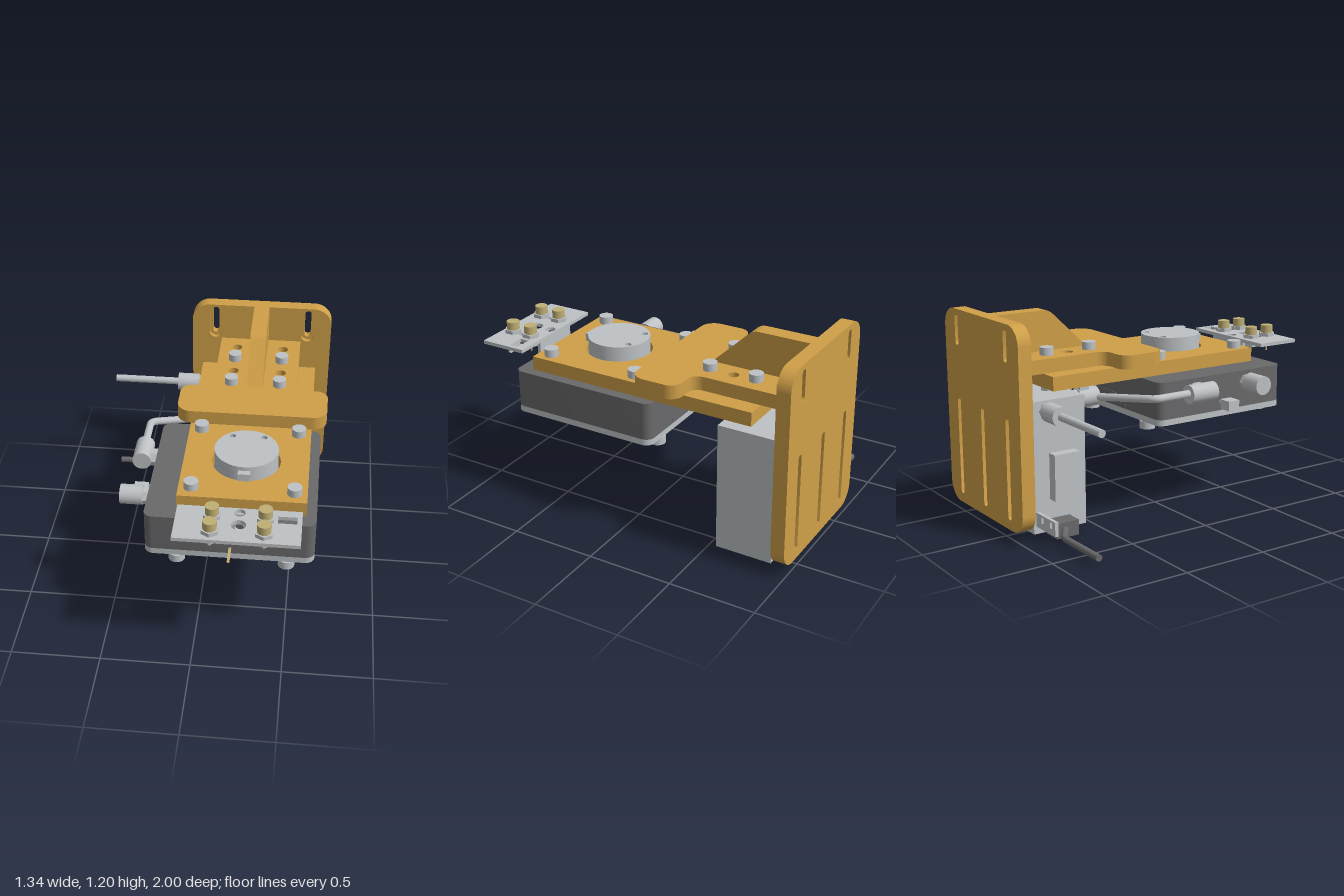
import * as THREE from 'three';
import { toCreasedNormals } from 'three/addons/utils/BufferGeometryUtils.js';

const mat = (name, color) => {
  const m = new THREE.MeshStandardMaterial({ color });
  m.name = name;
  return m;
};

export function createModel() {
  const model = new THREE.Group();
  const assembly = new THREE.Group();
  assembly.name = 'assembly';
  assembly.position.set(0.002, -0.005, 0);
  model.add(assembly);
  const orange = mat('orange anodised', 0xcf9f48);
  const grey = mat('light grey metal', 0xbec2c5);
  const dark = mat('dark grey housing', 0x69696b);
  const brass = mat('brass', 0xc0ae74);
  const green = mat('circuit green', 0x2f8555);
  const CX = 0.237; // mid-plane of the assembly

  // ---- helpers ----
  const add = (name, geo, m) => {
    const mesh = new THREE.Mesh(geo, m);
    mesh.name = name;
    assembly.add(mesh);
    return mesh;
  };
  // box from min/max extents
  const box = (name, m, x0, x1, y0, y1, z0, z1) =>
    add(name, new THREE.BoxGeometry(x1 - x0, y1 - y0, z1 - z0)
      .translate((x0 + x1) / 2, (y0 + y1) / 2, (z0 + z1) / 2), m);
  // cylinder centred at a point along an axis
  const cyl = (name, m, r, len, axis, x, y, z, sides = 28) => {
    let g = new THREE.CylinderGeometry(r, r, len, sides);
    if (sides < 10) g = toCreasedNormals(g, 0.5);
    if (axis === 'x') g.rotateZ(Math.PI / 2);
    if (axis === 'z') g.rotateX(Math.PI / 2);
    return add(name, g.translate(x, y, z), m);
  };
  const rounded = (x0, x1, y0, y1, r, T = THREE.Shape) => {
    const s = new T();
    s.moveTo(x0 + r, y0);
    s.lineTo(x1 - r, y0); s.absarc(x1 - r, y0 + r, r, -Math.PI / 2, 0);
    s.lineTo(x1, y1 - r); s.absarc(x1 - r, y1 - r, r, 0, Math.PI / 2);
    s.lineTo(x0 + r, y1); s.absarc(x0 + r, y1 - r, r, Math.PI / 2, Math.PI);
    s.lineTo(x0, y0 + r); s.absarc(x0 + r, y0 + r, r, Math.PI, Math.PI * 1.5);
    return s;
  };
  const rect = (x0, x1, y0, y1, T = THREE.Path) => new T([[x0, y0], [x1, y0], [x1, y1], [x0, y1]]
    .map(p => new THREE.Vector2(...p)));
  const circle = (x, y, r) => new THREE.Path().absarc(x, y, r, 0, Math.PI * 2);
  const extrude = (shape, depth) => toCreasedNormals(
    new THREE.ExtrudeGeometry(shape, { depth, bevelEnabled: false, curveSegments: 18 }), 0.6);
  // horizontal slab: shape drawn in (x, -z)
  const slab = (name, shape, y0, y1, m) =>
    add(name, extrude(shape, y1 - y0).rotateX(-Math.PI / 2).translate(0, y0, 0), m);
  const tube = (name, m, r, pts) => {
    const path = new THREE.CurvePath();
    const v = pts.map(p => new THREE.Vector3(...p));
    let from = v[0];
    for (let i = 1; i < v.length - 1; i++) { // soften each bend
      const a = v[i].clone().lerp(v[i - 1], 0.12), b = v[i].clone().lerp(v[i + 1], 0.12);
      path.add(new THREE.LineCurve3(from, a));
      path.add(new THREE.QuadraticBezierCurve3(a, v[i], b));
      from = b;
    }
    path.add(new THREE.LineCurve3(from, v[v.length - 1]));
    return add(name, new THREE.TubeGeometry(path, 60, r, 16), m);
  };

  // ---- back mounting plate: counterbored front layer and slotted rear layer ----
  const layers = [[-1, 0.05, 0.019, 0.992, 1.17], [-0.95, 0.03, 0.038, 0.973, 1.19]];
  for (const [z, d, w, y0, y1] of layers) {
    const s = rounded(-0.195, 0.67, 0.053, 1.2, 0.11);
    for (const x of [-0.05, 0.525]) s.holes.push(rounded(x - w, x + w, y0, y1, w, THREE.Path));
    for (const x of [-0.05, CX, 0.525])
      s.holes.push(rounded(x - 0.019, x + 0.019, 0.11, 0.685, 0.0189, THREE.Path));
    add('backPlate', extrude(s, d).translate(0, 0, z), orange);
  }

  // ---- T-shaped bracket arm with bolt holes ----
  const arm = new THREE.Shape();
  const W = 0.432, N = 0.247, r = 0.085;
  const R = CX + W, L = CX - W;
  arm.moveTo(L + r, 0.06);
  arm.lineTo(R - r, 0.06); arm.absarc(R - r, 0.06 + r, r, -Math.PI / 2, 0);
  arm.lineTo(R, 0.275); arm.absarc(R - 0.07, 0.275, 0.07, 0, Math.PI / 2);
  arm.lineTo(CX + N + 0.06, 0.345); arm.absarc(CX + N + 0.06, 0.405, 0.06, -Math.PI / 2, -Math.PI, true);
  arm.lineTo(CX + N, 0.92); arm.lineTo(CX - N, 0.92);
  arm.lineTo(CX - N, 0.405); arm.absarc(CX - N - 0.06, 0.405, 0.06, 0, -Math.PI / 2, true);
  arm.lineTo(L + 0.07, 0.345); arm.absarc(L + 0.07, 0.275, 0.07, Math.PI / 2, Math.PI);
  arm.lineTo(L, 0.06 + r); arm.absarc(L + r, 0.06 + r, r, Math.PI, Math.PI * 1.5);
  const boltX = [0.095, 0.38];
  for (const x of boltX) for (const z of [0.53, 0.81]) arm.holes.push(circle(x, z, 0.031));
  slab('bracketArm', arm, 0.89, 0.97, orange);

  // stiffening rib
  const rib = new THREE.Shape();
  rib.moveTo(0.92, 0.97); rib.lineTo(0.35, 0.97); rib.lineTo(0.565, 1.175);
  rib.quadraticCurveTo(0.59, 1.2, 0.625, 1.2); rib.lineTo(0.92, 1.2);
  add('rib', extrude(rib, 0.094).rotateY(Math.PI / 2).translate(0.19, 0, 0), orange);

  // ---- carrier plate with bore for the round lens cap ----
  const carrier = rect(-0.11, 0.585, -0.635, 0.745, THREE.Shape);
  carrier.holes.push(circle(CX, -0.28, 0.19));
  slab('carrierPlate', carrier, 0.81, 0.89, orange);

  const cap = new THREE.Shape().absarc(CX, -0.28, 0.177, 0, Math.PI * 2);
  for (const x of [0.15, 0.325]) cap.holes.push(circle(x, -0.165, 0.019));
  slab('roundCap', cap, 0.808, 0.97, grey);
  cyl('roundCapCore', grey, 0.16, 0.14, 'y', CX, 0.88, 0.28, 40);
  box('capTab', grey, 0.204, 0.27, 0.902, 0.946, 0.44, 0.49);

  // bolts through arm and carrier, with nuts below
  for (const x of boltX) for (const z of [-0.39, -0.665]) {
    cyl('armBolt', grey, 0.039, 0.045, 'y', x, 0.992, z);
    cyl('armNut', grey, 0.04, 0.04, 'y', x, 0.79, z, 6);
  }
  for (const x of [-0.04, 0.515]) for (const z of [0, 0.555])
    cyl('carrierBolt', grey, 0.04, 0.045, 'y', x, 0.912, z);

  // ---- dark housing with light lid and recessed underside ----
  slab('housing', rounded(-0.28, 0.64, -0.725, 0.165, 0.05), 0.592, 0.808, dark);
  const lid = rounded(-0.28, 0.64, -0.725, 0.165, 0.05);
  lid.holes.push(rect(CX - 0.28, CX + 0.24, -0.62, 0.06));
  slab('housingLid', lid, 0.557, 0.592, grey);
  const recess = new THREE.CylinderGeometry(Math.SQRT1_2 * 0.72, Math.SQRT1_2, 0.031, 4, 1, true)
    .toNonIndexed().rotateY(Math.PI / 4).scale(-0.52, 1, 0.68); // mirrored so it faces inward
  recess.computeVertexNormals();
  add('lidRecess', recess.translate(CX - 0.02, 0.5725, 0.28), grey);
  box('lidRecessFloor', grey, CX - 0.28, CX + 0.24, 0.588, 0.593, -0.06, 0.62);
  for (const x of [-0.105, 0.49]) for (const z of [-0.125, 0.69])
    cyl('lidBolt', grey, 0.045, 0.045, 'y', x, 0.533, z);
  for (const [z, s] of [[0.725, 1], [-0.165, -1]]) { // slot and contact strip at each end
    box('endSlot', dark, 0.055, 0.4, 0.609, 0.671, z - 0.003, z + 0.003);
    box('contactStrip', brass, 0.18, 0.195, 0.63, 0.634, Math.min(z, z + s * 0.125), Math.max(z, z + s * 0.125));
  }

  // ---- fittings on the housing side ----
  cyl('frontFitting', grey, 0.055, 0.125, 'x', -0.38, 0.743, 0.457);
  cyl('frontFittingHex', grey, 0.048, 0.04, 'x', -0.298, 0.738, 0.457, 6);
  cyl('elbowFitting', grey, 0.054, 0.175, 'z', -0.372, 0.745, 0.058);
  cyl('elbowHex', grey, 0.05, 0.06, 'x', -0.3, 0.738, 0.09, 6);
  box('sidePlug', grey, -0.397, -0.317, 0.613, 0.67, 0.24, 0.315);
  cyl('sidePlugPin', grey, 0.017, 0.05, 'x', -0.298, 0.641, 0.277);
  tube('coolantPipe', grey, 0.022,
    [[-0.374, 0.75, 0], [-0.374, 0.75, -0.255], [-0.02, 0.713, -0.395], [0.03, 0.713, -0.42]]);
  cyl('boxFitting', grey, 0.056, 0.125, 'z', 0.03, 0.713, -0.453);
  cyl('boxFittingHex', grey, 0.05, 0.04, 'z', 0.03, 0.713, -0.533, 6);
  box('boxFittingClip', grey, 0.0, 0.06, 0.75, 0.788, -0.51, -0.45);

  // ---- electronics box, open underneath over a recessed circuit board ----
  box('electronicsBox', grey, -0.11, 0.585, 0.07, 0.768, -0.885, -0.55);
  const rim = rect(-0.11, 0.585, 0.55, 0.885, THREE.Shape);
  rim.holes.push(rect(-0.09, 0.565, 0.57, 0.865));
  slab('boxRim', rim, 0.02, 0.07, grey);
  box('circuitBoard', green, -0.085, 0.56, 0.062, 0.071, -0.86, -0.575);
  box('boardChip', grey, 0.2, 0.28, 0.056, 0.064, -0.77, -0.69);
  for (const x of [-0.05, 0.53]) for (const z of [-0.835, -0.605])
    cyl('boardScrew', grey, 0.02, 0.01, 'y', x, 0.06, z, 16);
  box('boardSocket', grey, -0.085, -0.02, 0.025, 0.064, -0.79, -0.68);
  box('sidePanel', grey, -0.17, -0.1, 0.205, 0.47, -0.78, -0.62);
  box('boxRearTab', grey, -0.1, -0.04, 0.09, 0.16, -0.905, -0.88);

  // ---- cable, pipe and their connectors beside the box ----
  box('cableConnector', dark, -0.212, -0.087, 0.005, 0.093, -0.8, -0.66);
  tube('lowerCable', dark, 0.019,
    [[-0.672, 0.05, -0.82], [-0.32, 0.05, -0.82], [-0.2, 0.05, -0.74]]);
  cyl('lowerCableEnd', dark, 0.019, 0.004, 'x', -0.671, 0.05, -0.82);
  cyl('upperPipe', grey, 0.022, 0.42, 'x', -0.462, 0.71, -0.793);
  cyl('upperFitting', grey, 0.054, 0.13, 'x', -0.207, 0.71, -0.793);
  cyl('upperFittingHex', grey, 0.045, 0.04, 'x', -0.125, 0.71, -0.793, 6);

  // perforated bracket beside the lower connector
  const perf = rect(-0.314, -0.09, 0.064, 0.146, THREE.Shape);
  for (const x of [-0.27, -0.178]) perf.holes.push(rect(x - 0.011, x + 0.011, 0.1, 0.134));
  add('perforatedBracket', extrude(perf, 0.02).translate(0, 0, -0.87), grey);

  // ---- front sensor bracket ----
  const shelf = rect(-0.092, 0.565, -1, -0.725, THREE.Shape);
  shelf.holes.push(circle(0.24, -0.865, 0.04), circle(0.24, -0.765, 0.03), rect(0.44, 0.54, -0.83, -0.775));
  for (const x of [0.1, 0.38]) shelf.holes.push(circle(x, -0.868, 0.02));
  slab('sensorShelf', shelf, 0.88, 0.901, grey);
  box('shelfConnector', grey, 0.43, 0.555, 0.859, 0.867, 0.813, 0.833);
  box('shelfConnectorPost', grey, 0.45, 0.53, 0.865, 0.882, 0.827, 0.835);
  const face = rect(0.09, 0.388, 0.698, 0.88, THREE.Shape);
  face.holes.push(circle(0.238, 0.79, 0.024));
  add('sensorBracketFace', extrude(face, 0.02).translate(0, 0, 0.73), grey);
  for (const x of [0.135, 0.343]) cyl('bracketScrew', grey, 0.032, 0.025, 'z', x, 0.75, 0.76);

  // brass terminals with nuts and pins
  for (const x of [0.098, 0.376]) for (const z of [0.805, 0.93]) {
    cyl('terminal', brass, 0.037, 0.07, 'y', x, 0.935, z);
    cyl('terminalNut', grey, 0.051, 0.022, 'y', x, 0.912, z, 6);
    cyl('terminalLowerNut', grey, 0.046, 0.034, 'y', x, 0.865, z, 6);
    cyl('terminalPin', brass, 0.005, 0.06, 'y', x, 0.838, z, 10);
  }
  return model;
}
